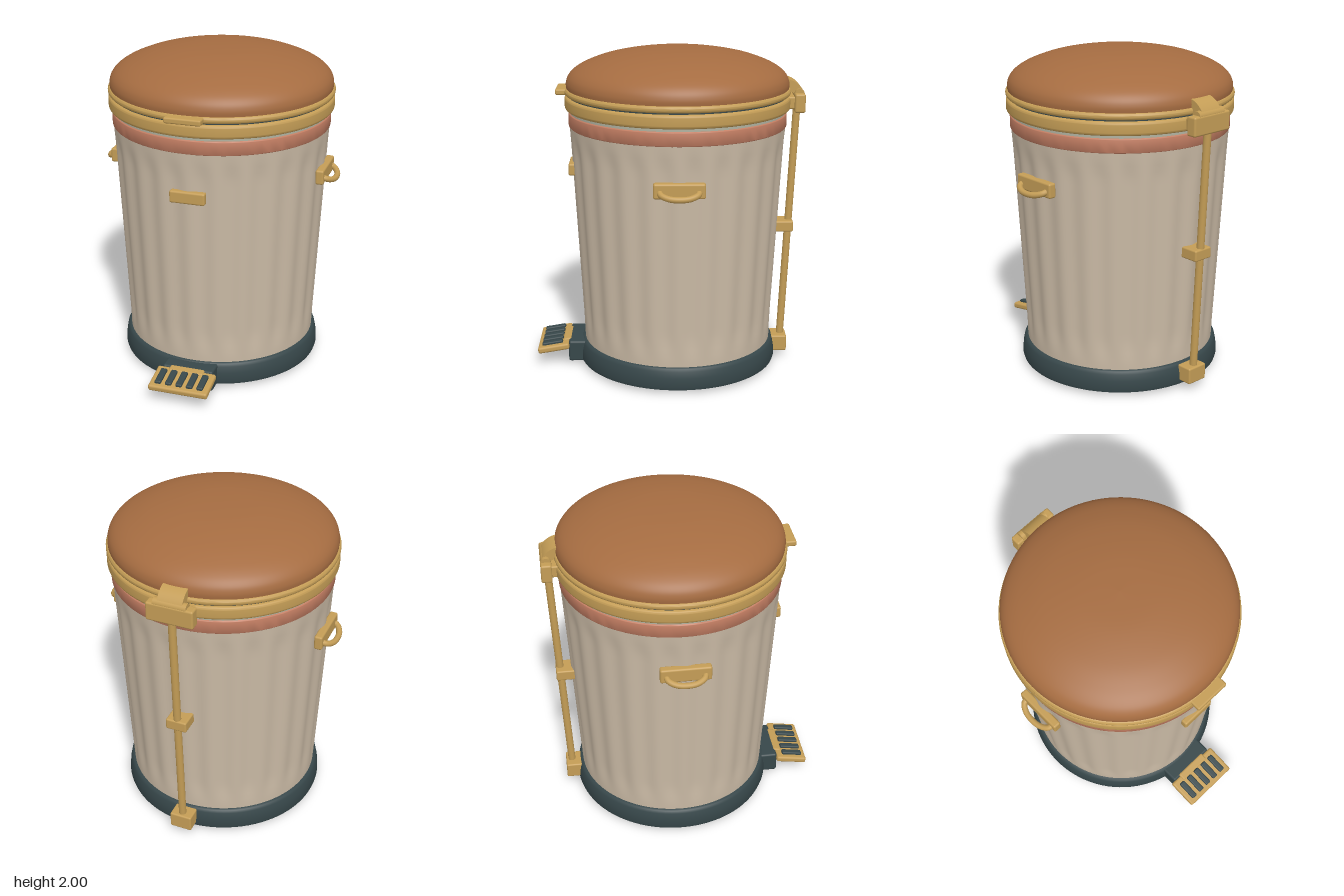
import * as THREE from 'three';
import { mergeVertices, toCreasedNormals } from 'three/addons/utils/BufferGeometryUtils.js';
import { RoundedBoxGeometry } from 'three/addons/geometries/RoundedBoxGeometry.js';

const mat = (name, color) => {
  const m = new THREE.MeshStandardMaterial({ color });
  m.name = name;
  return m;
};

export function createModel() {
  const lidBrown = mat('lid brown', 0xa56c41);
  const cream = mat('warm cream', 0xcbbba6);
  const brass = mat('brass', 0xc49d56);
  const terracotta = mat('terracotta', 0xc27d62);
  const slate = mat('dark slate', 0x37474a);
  const underside = mat('underside black', 0x262d2f);
  const rimGrey = mat('rim grey', 0xb4b5a3);

  const model = new THREE.Group();
  const bin = new THREE.Group(); // everything turned about the bin's axis
  bin.name = 'bin';
  bin.position.z = -0.06;
  model.add(bin);

  const add = (name, geo, material, parent = model, x = 0, y = 0, z = 0) => {
    const mesh = new THREE.Mesh(geo, material);
    mesh.name = name;
    mesh.position.set(x, y, z);
    parent.add(mesh);
    return mesh;
  };
  // box given by its limits on each axis
  const box = (name, material, [x0, x1], [y0, y1], [z0, z1], r = 0.01, parent = model) =>
    add(name, new RoundedBoxGeometry(x1 - x0, y1 - y0, z1 - z0, 3, r), material, parent,
      (x0 + x1) / 2, (y0 + y1) / 2, (z0 + z1) / 2);
  const lathe = (name, material, pts) => add(name, toCreasedNormals(
    new THREE.LatheGeometry(pts.map(p => new THREE.Vector2(...p)), 96), 0.7), material, bin);
  // ring with rounded outer edges
  const ring = (name, material, inner, outer, y0, y1, r) => {
    const pts = [[inner, y0]];
    for (let i = 0; i <= 6; i++) {
      const a = (i / 6) * Math.PI / 2;
      pts.push([outer - r + r * Math.sin(a), y0 + r - r * Math.cos(a)]);
    }
    for (let i = 0; i <= 6; i++) {
      const a = (i / 6) * Math.PI / 2;
      pts.push([outer - r + r * Math.cos(a), y1 - r + r * Math.sin(a)]);
    }
    pts.push([inner, y1]);
    lathe(name, material, pts);
  };

  // Fluted, tapering body: grooves fade out at both ends
  const wall = [];
  for (let i = 0; i <= 32; i++) wall.push(new THREE.Vector2(0.588 + 0.075 * i / 32, 0.14 + 1.4 * i / 32));
  let body = new THREE.LatheGeometry(wall, 192);
  const pos = body.attributes.position;
  for (let i = 0; i < pos.count; i++) {
    const x = pos.getX(i), y = pos.getY(i), z = pos.getZ(i);
    const fade = THREE.MathUtils.smoothstep(y, 0.17, 0.36) * (1 - THREE.MathUtils.smoothstep(y, 1.36, 1.53));
    const groove = 0.5 - 0.5 * Math.cos(24 * Math.atan2(x, z));
    const k = 1 - 0.014 * fade * groove / Math.hypot(x, z);
    pos.setXYZ(i, x * k, y, z * k);
  }
  body.deleteAttribute('uv');
  body.deleteAttribute('normal');
  body = mergeVertices(body, 1e-5);
  body.computeVertexNormals();
  add('body', body, cream, bin);

  // Base with recessed underside and four feet
  lathe('base', slate, [[0.55, 0.045], [0.56, 0.022], [0.605, 0.02], [0.618, 0.026], [0.624, 0.045],
    [0.62, 0.10], [0.612, 0.14], [0.604, 0.156], [0.592, 0.162], [0.57, 0.162]]);
  lathe('baseUnderside', underside, [[0, 0.04], [0.555, 0.04]]);
  for (const x of [-0.355, 0.355]) for (const z of [-0.355, 0.355]) {
    add('foot', new THREE.CylinderGeometry(0.065, 0.06, 0.045, 24), slate, bin, x, 0.0225, z);
  }

  // Collar bands below the lid
  ring('collarBand', terracotta, 0.64, 0.668, 1.528, 1.617, 0.012);
  lathe('innerRim', rimGrey, [[0.66, 1.6], [0.662, 1.65]]);
  ring('collarRing', brass, 0.63, 0.689, 1.634, 1.716, 0.018);
  lathe('lidGasket', slate, [[0.668, 1.71], [0.668, 1.735]]);

  // Lid: brass trim, domed cushion and front tab
  ring('lidTrim', brass, 0.62, 0.691, 1.724, 1.765, 0.018);
  const dome = new THREE.SplineCurve([[0.678, 1.76], [0.679, 1.795], [0.664, 1.835], [0.625, 1.874],
    [0.55, 1.914], [0.42, 1.957], [0.22, 1.991], [0, 2.0]].map(p => new THREE.Vector2(...p)));
  add('lidDome', new THREE.LatheGeometry(dome.getPoints(36).map(p => p.set(Math.max(p.x, 0), p.y)), 96), lidBrown, bin);
  box('lidTab', brass, [-0.11, 0.11], [1.727, 1.762], [0.56, 0.68]);

  // Blank front plate
  box('frontPlate', brass, [-0.108, 0.108], [1.225, 1.3], [0.565, 0.61], 0.012);

  // Side handles: mounting plate with a drooping bail
  for (const turn of [0, Math.PI]) {
    const handle = new THREE.Group();
    handle.name = turn ? 'rightHandle' : 'leftHandle';
    handle.rotation.y = turn;
    bin.add(handle);
    box('handlePlate', brass, [0.632, 0.682], [1.23, 1.32], [-0.15, 0.15], 0.012, handle);
    const bail = new THREE.CatmullRomCurve3([[0.66, 1.272, -0.115], [0.695, 1.258, -0.105], [0.722, 1.244, -0.06],
      [0.73, 1.24, 0], [0.722, 1.244, 0.06], [0.695, 1.258, 0.105], [0.66, 1.272, 0.115]]
      .map(p => new THREE.Vector3(...p)));
    add('handleBail', new THREE.TubeGeometry(bail, 40, 0.018, 12), brass, handle);
  }

  // Pedal housing and lever
  box('pedalHousing', slate, [-0.16, 0.16], [0.022, 0.156], [0.45, 0.63], 0.014);
  box('pedalLever', underside, [-0.045, 0.045], [0.024, 0.05], [0.25, 0.6], 0.008);

  // Pedal: tilted brass tray with five grip pads
  const pedal = new THREE.Group();
  pedal.name = 'pedal';
  pedal.position.set(0, 0.115, 0.725);
  pedal.rotation.x = 0.17;
  model.add(pedal);
  box('pedalTray', brass, [-0.186, 0.186], [-0.02, 0.02], [-0.1, 0.1], 0.014, pedal);
  box('pedalHinge', brass, [-0.11, 0.11], [-0.025, 0.027], [-0.115, -0.06], 0.012, pedal);
  for (let i = -2; i <= 2; i++) {
    box('gripPad', slate, [i * 0.066 - 0.02, i * 0.066 + 0.02], [0.012, 0.036], [-0.062, 0.07], 0.009, pedal);
  }
  const knob = add('pedalPivot', new THREE.CylinderGeometry(0.022, 0.022, 0.11, 16), brass, pedal, 0, -0.022, -0.03);
  knob.rotation.z = Math.PI / 2;

  // Rear hinge: block, knuckle and strap bent over the lid edge
  box('hingeBlock', brass, [-0.143, 0.143], [1.62, 1.735], [-0.83, -0.765], 0.012);
  box('hingeMount', brass, [-0.12, 0.12], [1.64, 1.715], [-0.79, -0.71], 0.01);
  const knuckle = add('hingeKnuckle', new THREE.CylinderGeometry(0.03, 0.03, 0.2, 24), brass, model, 0, 1.73, -0.797);
  knuckle.rotation.z = Math.PI / 2;
  const strapShape = new THREE.Shape();
  strapShape.moveTo(0.715, 1.755);
  strapShape.lineTo(0.73, 1.815);
  strapShape.quadraticCurveTo(0.79, 1.80, 0.82, 1.745);
  strapShape.lineTo(0.785, 1.72);
  strapShape.closePath();
  const strap = new THREE.ExtrudeGeometry(strapShape, { depth: 0.15, bevelEnabled: false, curveSegments: 10 });
  strap.translate(0, 0, -0.075);
  strap.rotateY(Math.PI / 2);
  add('hingeStrap', toCreasedNormals(strap, 0.6), brass);

  // Lift rod with guide clip and foot block
  const rod = new THREE.LineCurve3(new THREE.Vector3(0, 0.1, -0.722), new THREE.Vector3(0, 1.66, -0.793));
  add('liftRod', new THREE.TubeGeometry(rod, 1, 0.023, 16), brass);
  box('rodClip', brass, [-0.065, 0.065], [0.848, 0.917], [-0.785, -0.66], 0.01);
  box('rodFoot', brass, [-0.07, 0.07], [0.05, 0.152], [-0.762, -0.66], 0.01);

  return model;
}
